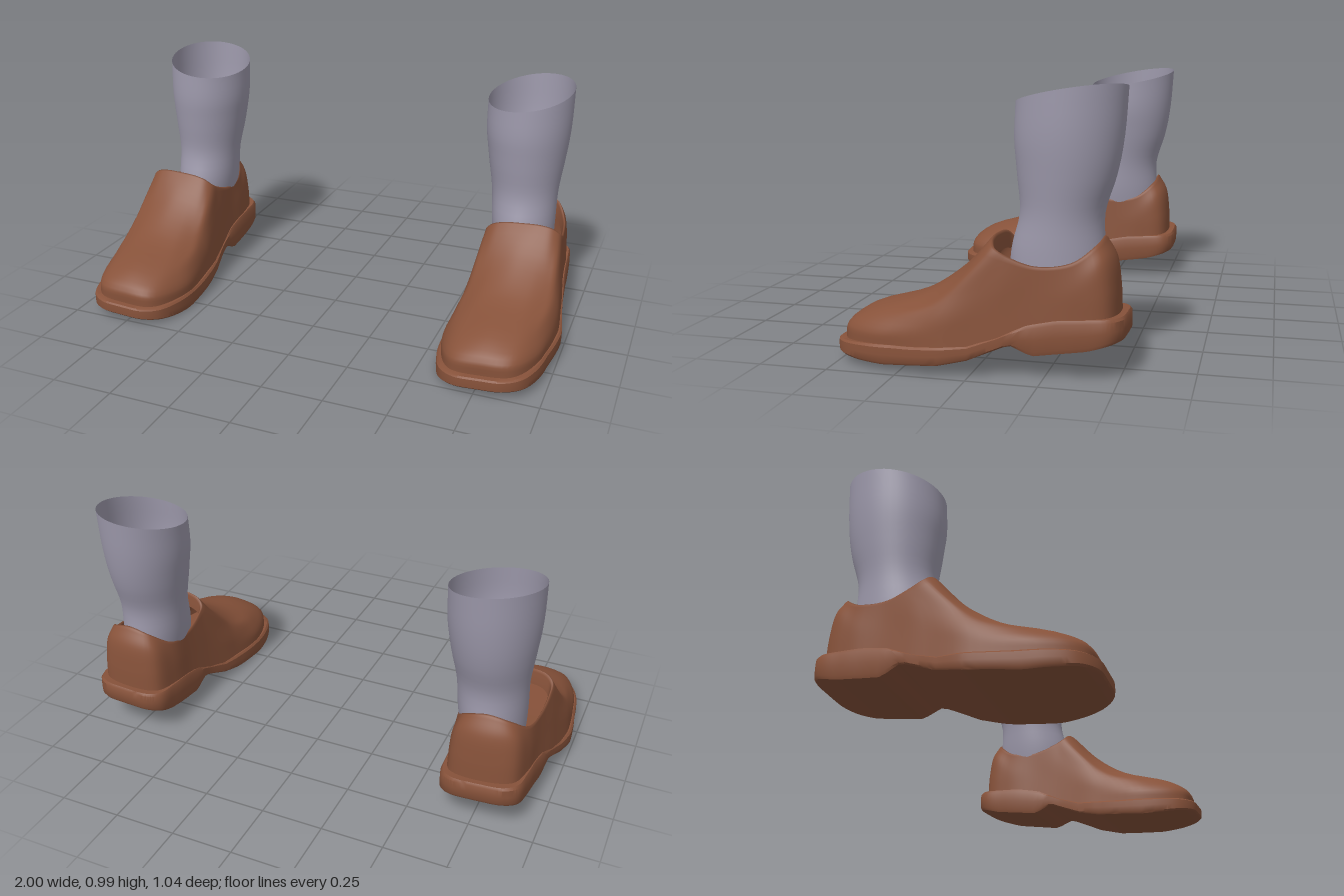
import * as THREE from 'three';
import { toCreasedNormals } from 'three/addons/utils/BufferGeometryUtils.js';

const V = (x, y, z) => new THREE.Vector3(x, y, z);

// Piecewise linear lookup in [z, value] pairs, z falling
function at(table, z) {
  if (z >= table[0][0]) return table[0][1];
  for (let i = 1; i < table.length; i++) {
    const [z0, v0] = table[i - 1], [z1, v1] = table[i];
    if (z >= z1) return v0 + (v1 - v0) * (z0 - z) / (z0 - z1);
  }
  return table[table.length - 1][1];
}

// Centre line of the shoe, and the slight sideways roll of the foot
const CENTRE = [[0.5, 0.765], [0.27, 0.767], [0.1, 0.783], [-0.1, 0.783], [-0.3, 0.773], [-0.5, 0.77]];
const place = (l, y, z) => V(at(CENTRE, z) + l, y + 0.06 * l, z);

// Skin closed rings; side -1 mirrors the result
function loft(rings, side) {
  const n = rings[0].length, pos = [], idx = [];
  rings.forEach((r) => r.forEach((p) => pos.push(p.x * side, p.y, p.z)));
  for (let i = 0; i < rings.length - 1; i++) {
    for (let j = 0; j < n; j++) {
      const k = (j + 1) % n;
      const a = i * n + j, b = i * n + k, c = b + n, d = a + n;
      if (side > 0) idx.push(a, b, c, a, c, d);
      else idx.push(a, c, b, a, d, c);
    }
  }
  const g = new THREE.BufferGeometry();
  g.setAttribute('position', new THREE.Float32BufferAttribute(pos, 3));
  g.setIndex(idx);
  g.computeVertexNormals();
  return g;
}

// Half outline of the sole, toe to heel: [half width, z]
const OUTLINE = [[0, 0.517], [0.09, 0.512], [0.155, 0.47], [0.195, 0.38], [0.213, 0.25], [0.216, 0.1],
  [0.2, 0], [0.182, -0.1], [0.172, -0.25], [0.165, -0.38], [0.15, -0.475], [0.1, -0.513], [0, -0.52]];
const SOLE_BOTTOM = [[0.52, 0.03], [0.4, 0.017], [0.3, 0.012], [0.1, 0.03], [0, 0.052], [-0.14, 0.11],
  [-0.215, 0.075], [-0.4, 0.1], [-0.52, 0.135]];
const SOLE_TOP = [[0.52, 0.075], [0.2, 0.085], [0, 0.1], [-0.1, 0.135], [-0.2, 0.18], [-0.3, 0.2], [-0.52, 0.213]];

function soleGeometry(side) {
  const curve = new THREE.CatmullRomCurve3(OUTLINE.map(([l, z]) => V(l, 0, z)));
  const half = curve.getPoints(72);
  const outline = [...half, ...half.slice(1, -1).reverse().map((p) => V(-p.x, 0, p.z))];
  // [width scale, length scale, height fraction]
  const layers = [[0, 0.985, 0], [0.97, 0.985, 0], [0.995, 0.998, 0.12], [1, 1, 0.5],
    [0.995, 0.998, 0.88], [0.96, 0.985, 1], [0.86, 0.93, 1], [0, 0.93, 1]];
  const rings = layers.map(([sx, sz, f]) => outline.map((p) => {
    const z = p.z * sz;
    const lo = at(SOLE_BOTTOM, z);
    return place(p.x * sx, lo + (at(SOLE_TOP, z) - lo) * f, z);
  }));
  return toCreasedNormals(loft(rings, side), 0.65);
}

// Ribs of the upper from sole to collar, toe round to heel: [half width, y, z]
const RIBS = [
  [[0, 0.075, 0.487], [0, 0.13, 0.484], [0, 0.192, 0.4], [0, 0.255, 0.2], [0, 0.355, 0.05], [0, 0.467, -0.058]],
  [[0.12, 0.075, 0.468], [0.118, 0.125, 0.462], [0.105, 0.18, 0.38], [0.09, 0.248, 0.19], [0.08, 0.345, 0.045], [0.075, 0.464, -0.06]],
  [[0.188, 0.075, 0.34], [0.188, 0.12, 0.33], [0.165, 0.178, 0.28], [0.15, 0.236, 0.15], [0.135, 0.33, 0.035], [0.122, 0.452, -0.065]],
  [[0.203, 0.08, 0.12], [0.195, 0.17, 0.11], [0.17, 0.28, 0.05], [0.148, 0.43, -0.08]],
  [[0.184, 0.105, -0.05], [0.172, 0.26, -0.07], [0.154, 0.402, -0.13]],
  [[0.163, 0.175, -0.22], [0.156, 0.28, -0.22], [0.15, 0.373, -0.225]],
  [[0.154, 0.195, -0.36], [0.149, 0.3, -0.358], [0.137, 0.388, -0.345]],
  [[0.122, 0.2, -0.462], [0.119, 0.3, -0.457], [0.11, 0.39, -0.444], [0.088, 0.445, -0.422]],
  [[0, 0.2, -0.49], [0, 0.3, -0.486], [0, 0.4, -0.472], [0, 0.467, -0.435]],
];

function upperGeometry(side) {
  const ribs = RIBS.map((r) => new THREE.CatmullRomCurve3(r.map((p) => V(...p))));
  const rings = [];
  for (let i = 0; i <= 20; i++) {
    const outer = ribs.map((r) => r.getPoint(i / 20));
    const inner = outer.slice(1, -1).reverse().map((p) => V(-p.x, p.y, p.z));
    const loop = new THREE.CatmullRomCurve3([...outer, ...inner], true);
    rings.push(loop.getPoints(96).slice(0, -1).map((p) => place(p.x, p.y, p.z)));
  }
  // Rolled collar and lining
  const rim = rings[20];
  for (const [s, drop] of [[0.97, -0.004], [0.94, 0.006], [0.92, 0.06]]) {
    rings.push(rim.map((p) => V(0.775 + (p.x - 0.775) * s, p.y - drop, -0.25 + (p.z + 0.25) * s)));
  }
  return loft(rings, side);
}

// Sock sections: [y, centre x, half width, front z, back z]
const SOCK = [[0.2, 0.757, 0.105, -0.13, -0.42], [0.3, 0.755, 0.12, -0.1, -0.428], [0.41, 0.748, 0.13, -0.1, -0.43],
  [0.54, 0.743, 0.136, -0.13, -0.425], [0.67, 0.739, 0.155, -0.12, -0.463], [0.8, 0.737, 0.17, -0.11, -0.488],
  [0.945, 0.737, 0.172, -0.115, -0.5]];

function sockGeometry(side) {
  const rings = [];
  const path = (f) => new THREE.CatmullRomCurve3(SOCK.map(f));
  const a = path(([y, x, w]) => V(x, y, w));
  const b = path(([y, , , f, k]) => V((f + k) / 2, y, (f - k) / 2));
  for (let i = 0; i <= 24; i++) {
    const p = a.getPoint(i / 24), q = b.getPoint(i / 24);
    const slope = Math.max(0, (i - 18) / 6); // the top edge is cut at a slant
    rings.push(Array.from({ length: 48 }, (_, j) => {
      const t = j / 48 * Math.PI * 2, sx = Math.sin(t), cz = Math.cos(t);
      return V(p.x + p.z * sx, p.y + slope * (0.025 * sx - 0.032 * cz), q.x + q.z * cz);
    }));
  }
  return loft(rings, side);
}

export function createModel() {
  const leather = new THREE.MeshStandardMaterial({ color: 0x87523a, side: THREE.DoubleSide });
  leather.name = 'brownLeather';
  const wool = new THREE.MeshStandardMaterial({ color: 0x9c98aa, side: THREE.DoubleSide });
  wool.name = 'greySock';

  const model = new THREE.Group();
  model.name = 'shoesAndSocks';
  for (const [side, label] of [[1, 'left'], [-1, 'right']]) {
    const foot = new THREE.Group();
    foot.name = label + 'Foot';
    const add = (name, geometry, material) => {
      const mesh = new THREE.Mesh(geometry, material);
      mesh.name = label + name;
      foot.add(mesh);
    };
    add('Sole', soleGeometry(side), leather);
    add('ShoeUpper', upperGeometry(side), leather);
    add('Sock', sockGeometry(side), wool);
    model.add(foot);
  }
  return model;
}
